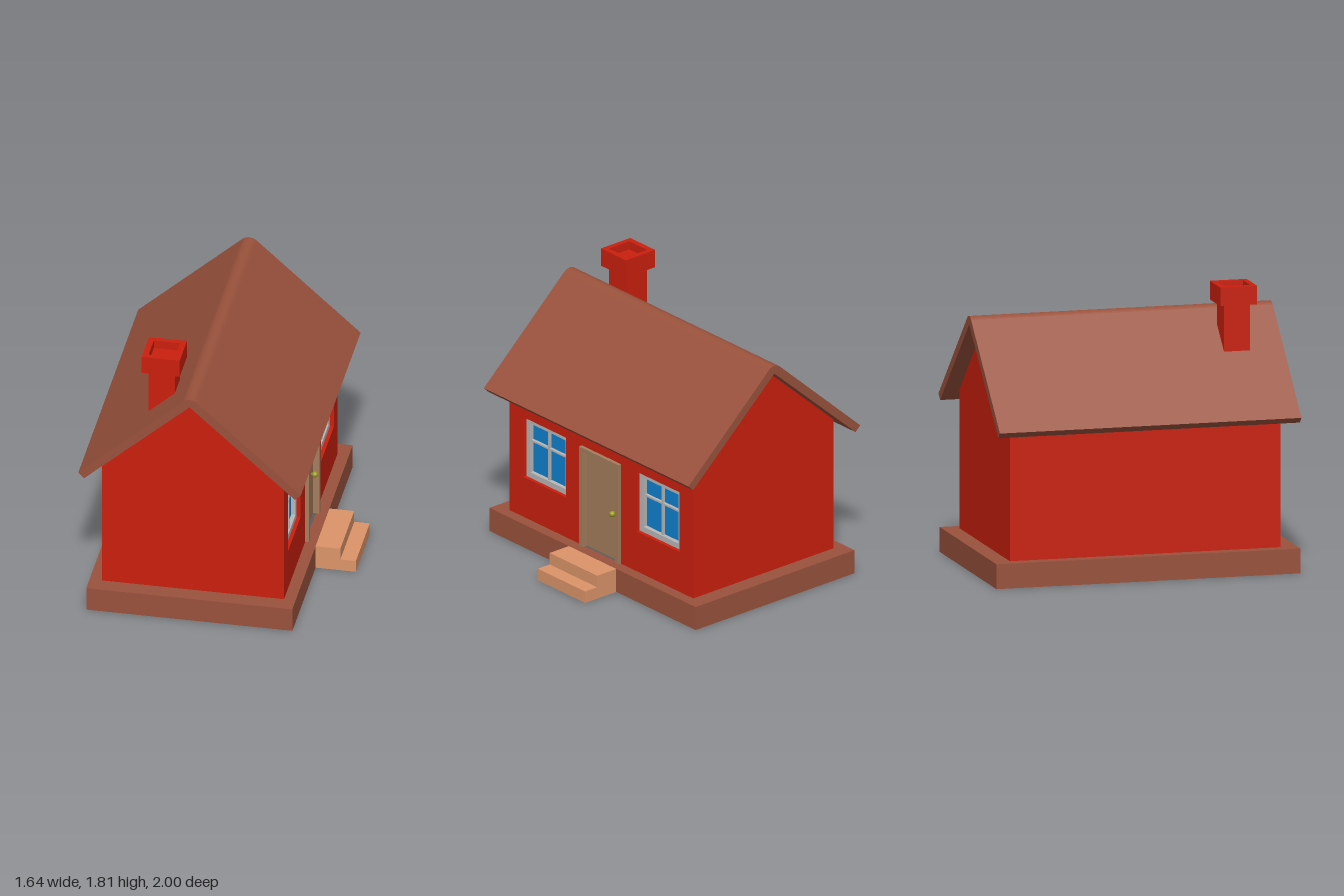
import * as THREE from 'three';

const mat = (color) => new THREE.MeshStandardMaterial({ color, side: THREE.DoubleSide });
const RED = mat(0xcc1f0e), BROWN = mat(0x9a523c), STEP = mat(0xdd956a), WOOD = mat(0xa57d5d),
  FRAME = mat(0xb8b8b8), GLASS = mat(0x0f82d0), BRASS = mat(0x9c9a1c);

const WALL = { x0: -0.69, x1: 0.485, z: 0.89, y: 0.16 };
const RIDGE = -0.105;

function add(parent, name, geo, material) {
  const m = new THREE.Mesh(geo, material);
  m.name = name;
  parent.add(m);
  return m;
}

// box given by its minimum and maximum corners
function box(parent, name, a, b, material) {
  const g = new THREE.BoxGeometry(b[0] - a[0], b[1] - a[1], b[2] - a[2]);
  g.translate((a[0] + b[0]) / 2, (a[1] + b[1]) / 2, (a[2] + b[2]) / 2);
  return add(parent, name, g, material);
}

// flat sheet from four corners, counter-clockwise seen from its front
function quad(parent, name, corners, material) {
  const g = new THREE.BufferGeometry();
  g.setAttribute('position', new THREE.Float32BufferAttribute(corners.flat(), 3));
  g.setIndex([0, 1, 2, 0, 2, 3]);
  g.computeVertexNormals();
  return add(parent, name, g, material);
}

const poly = (pts) => new THREE.Shape(pts.map((p) => new THREE.Vector2(p[0], p[1])));
const rect = (x0, y0, x1, y1) => poly([[x0, y0], [x1, y0], [x1, y1], [x0, y1]]);

// outline drawn as (-z, y), extruded along x from x0 to x1
function sideExtrude(parent, name, shape, x0, x1, material) {
  const g = new THREE.ExtrudeGeometry(shape, { depth: x1 - x0, bevelEnabled: false });
  g.rotateY(Math.PI / 2).translate(x0, 0, 0);
  return add(parent, name, g, material);
}

function withHoles(shape, ...holes) {
  shape.holes.push(...holes);
  return shape;
}

function buildPlinth() {
  const g = new THREE.Group();
  g.name = 'plinth';
  const x0 = -0.77, x1 = 0.56, h = 0.16, gap = 0.23;
  const ledge = new THREE.ShapeGeometry(withHoles(rect(x0, -1, x1, 1),
    rect(WALL.x0, -WALL.z, WALL.x1, WALL.z)));
  ledge.rotateX(-Math.PI / 2).translate(0, h, 0);
  add(g, 'plinthLedge', ledge, BROWN);
  const side = (name, ax, az, bx, bz) =>
    quad(g, name, [[ax, 0, az], [bx, 0, bz], [bx, h, bz], [ax, h, az]], BROWN);
  side('plinthFront', x0, 1, x1, 1);
  side('plinthBack', x1, -1, x0, -1);
  side('plinthRight', x0, -1, x0, 1);
  // the door side is open behind the steps
  side('plinthLeftA', x1, 1, x1, gap);
  side('plinthLeftB', x1, -gap, x1, -1);
  return g;
}

function buildSteps() {
  const g = new THREE.Group();
  g.name = 'steps';
  const z = 0.23;
  const profile = [[0.56, 0.16], [0.72, 0.16], [0.72, 0.08], [0.82, 0.08], [0.82, 0]];
  for (let i = 0; i < profile.length - 1; i++) {
    const [a, b] = [profile[i], profile[i + 1]];
    quad(g, i % 2 ? 'riser' : 'tread', [[...a, z], [...b, z], [...b, -z], [...a, -z]], STEP);
  }
  const cheek = [...profile, [0.56, 0]];
  for (const s of [1, -1]) {
    const geo = new THREE.ShapeGeometry(poly(cheek));
    if (s < 0) geo.rotateY(Math.PI).scale(-1, 1, 1).index.array.reverse();
    geo.computeVertexNormals();
    add(g, 'stepSide', geo.translate(0, 0, s * z), STEP);
  }
  return g;
}

const WINDOWS = [0.55, -0.55];
const WIN = { w: 0.208, y0: 0.437, y1: 0.853 };

function buildWalls() {
  const g = new THREE.Group();
  g.name = 'walls';
  const { x0, x1, z, y } = WALL, top = 1.055;
  const gable = [[x0, y], [x1, y], [x1, top], [RIDGE, 1.585], [x0, top]];
  add(g, 'frontGable', new THREE.ShapeGeometry(poly(gable)).translate(0, 0, z), RED);
  add(g, 'backGable', new THREE.ShapeGeometry(poly(gable)).rotateY(Math.PI)
    .translate(2 * RIDGE + 0.005, 0, -z), RED);
  quad(g, 'rightWall', [[x0, y, -z], [x0, y, z], [x0, top, z], [x0, top, -z]], RED);
  // wall with the window and door openings
  const holes = WINDOWS.map((c) => rect(-c - WIN.w, WIN.y0, -c + WIN.w, WIN.y1));
  // the door opening reaches the floor, so it is part of the outline
  const outline = poly([[-z, y], [-0.19, y], [-0.19, 0.85], [0.19, 0.85], [0.19, y],
    [z, y], [z, top], [-z, top]]);
  sideExtrude(g, 'leftWall', withHoles(outline, ...holes), x1 - 0.04, x1, RED);
  return g;
}

function buildWindow(c) {
  const g = new THREE.Group();
  g.name = 'window';
  const { w, y0, y1 } = WIN, x = 0.46, rim = 0.038;
  sideExtrude(g, 'windowFrame', withHoles(rect(-w, y0, w, y1),
    rect(-w + rim, y0 + rim, w - rim, y1 - rim)), x - 0.035, x, FRAME);
  box(g, 'glass', [x - 0.034, y0 + 0.02, -w + 0.02], [x - 0.028, y1 - 0.02, w - 0.02], GLASS);
  box(g, 'mullion', [x - 0.03, y0 + rim, -0.006], [x - 0.008, y1 - rim, 0.006], FRAME);
  box(g, 'crossbar', [x - 0.03, 0.688, -w + rim], [x - 0.008, 0.7, w - rim], FRAME);
  g.position.z = c;
  return g;
}

function buildDoor() {
  const g = new THREE.Group();
  g.name = 'door';
  const y = 0.16;
  const frame = poly([[-0.19, y], [-0.158, y], [-0.158, 0.82], [0.158, 0.82], [0.158, y],
    [0.19, y], [0.19, 0.853], [-0.19, 0.853]]);
  sideExtrude(g, 'doorFrame', frame, 0.445, 0.51, WOOD);
  box(g, 'doorPanel', [0.445, y, -0.158], [0.468, 0.82, 0.158], WOOD);
  add(g, 'doorKnob', new THREE.SphereGeometry(0.02, 20, 14).translate(0.49, 0.48, -0.11), BRASS);
  const stem = new THREE.CylinderGeometry(0.009, 0.009, 0.03, 12).rotateZ(Math.PI / 2);
  add(g, 'knobStem', stem.translate(0.475, 0.48, -0.11), BRASS);
  return g;
}

function buildRoof() {
  // chevron outline with a rounded ridge
  const s = new THREE.Shape();
  s.moveTo(0.575, 0.975);
  s.lineTo(0.613, 1.012);
  s.lineTo(RIDGE + 0.045, 1.622);
  s.bezierCurveTo(RIDGE + 0.02, 1.645, RIDGE - 0.02, 1.645, RIDGE - 0.045, 1.622);
  s.lineTo(-0.823, 1.012);
  s.lineTo(-0.785, 0.975);
  s.lineTo(RIDGE, 1.585);
  return new THREE.ExtrudeGeometry(s, { depth: 1.985, bevelEnabled: false, curveSegments: 8 })
    .translate(0, 0, -0.9925);
}

function buildChimney() {
  const g = new THREE.Group();
  g.name = 'chimney';
  box(g, 'chimneyShaft', [-0.412, 0.72, 0.598], [-0.243, 1.75, 0.77], RED);
  // hollow cap
  const cap = withHoles(rect(-0.45, -0.805, -0.205, -0.563), rect(-0.412, -0.77, -0.243, -0.598));
  const geo = new THREE.ExtrudeGeometry(cap, { depth: 0.12, bevelEnabled: false });
  add(g, 'chimneyCap', geo.rotateX(-Math.PI / 2).translate(0, 1.686, 0), RED);
  return g;
}

export function createModel() {
  const house = new THREE.Group();
  house.name = 'house';
  house.add(buildPlinth(), buildSteps(), buildWalls(), buildDoor(), buildChimney());
  for (const c of WINDOWS) house.add(buildWindow(c));
  add(house, 'roof', buildRoof(), BROWN);
  return house;
}
